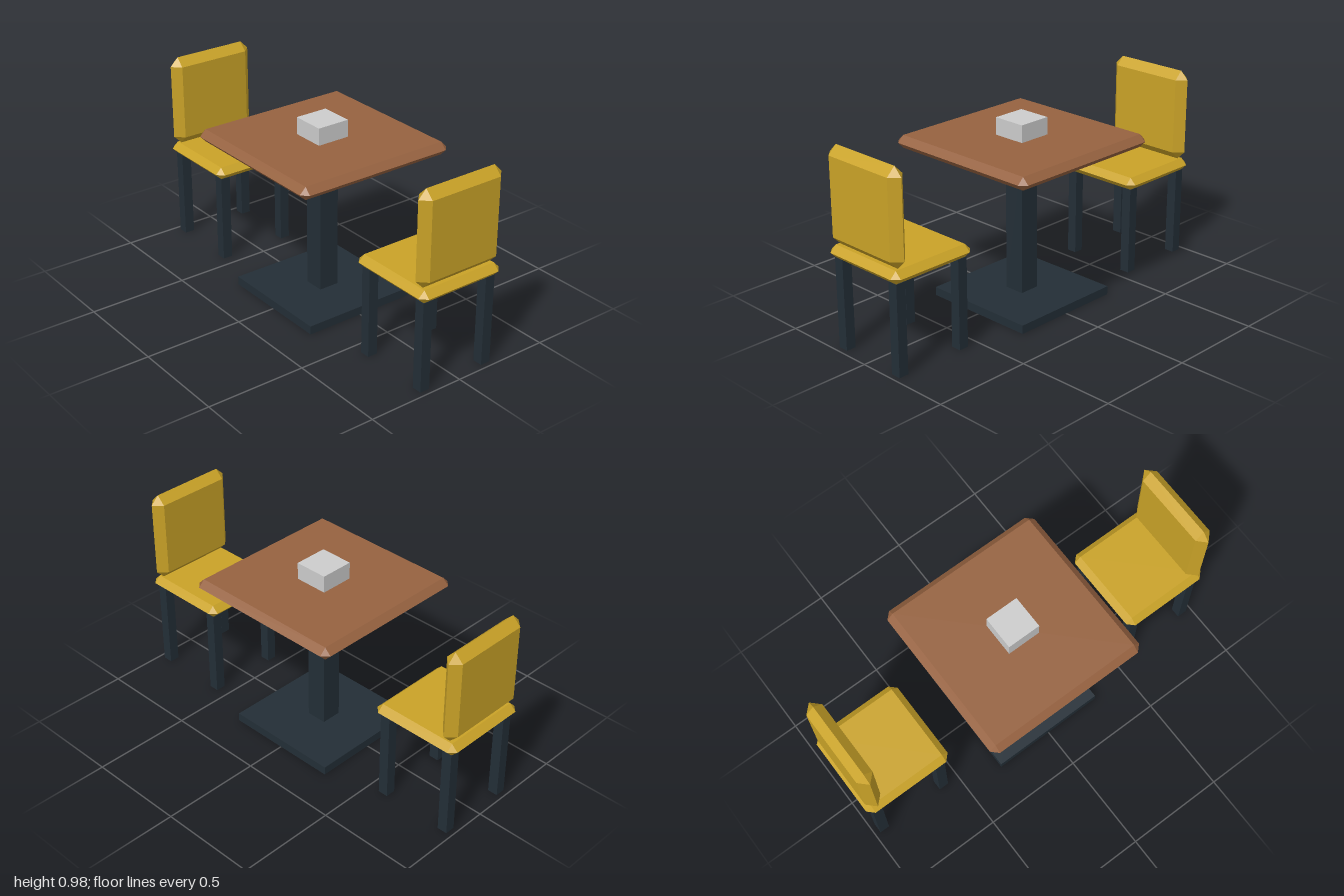
import * as THREE from 'three';
import { ConvexGeometry } from 'three/addons/geometries/ConvexGeometry.js';

const mat = (name, color) => {
  const m = new THREE.MeshStandardMaterial({ color });
  m.name = name;
  return m;
};

// Box with 45 degree chamfers on every edge: each face is inset by the bevel
function chamferedBox(w, h, d, bevel) {
  const half = [w / 2, h / 2, d / 2];
  const points = new Map();
  for (let axis = 0; axis < 3; axis++)
    for (const sx of [-1, 1]) for (const sy of [-1, 1]) for (const sz of [-1, 1]) {
      const p = [sx, sy, sz].map((s, i) => s * (i === axis ? half[i] : Math.max(half[i] - bevel, 0)) + 0);
      points.set(p.map((v) => (v + 0).toFixed(4)).join(), new THREE.Vector3(...p));
    }
  return new ConvexGeometry([...points.values()]);
}

function add(parent, name, geometry, material, x, y, z) {
  const mesh = new THREE.Mesh(geometry, material);
  mesh.name = name;
  mesh.position.set(x, y, z);
  parent.add(mesh);
  return mesh;
}

export function createModel() {
  const model = new THREE.Group();
  model.name = 'diningSet';
  const wood = mat('wood', 0x966240);
  const mustard = mat('mustard', 0xc9a227);
  const darkMetal = mat('darkMetal', 0x232e36);
  const lightGrey = mat('lightGrey', 0xcccccc);

  // Pedestal table with a small box on top
  const table = new THREE.Group();
  table.name = 'table';
  model.add(table);
  add(table, 'tableBase', new THREE.BoxGeometry(0.595, 0.043, 0.595), darkMetal, 0, 0.0215, 0);
  add(table, 'tablePost', new THREE.BoxGeometry(0.105, 0.727, 0.105), darkMetal, 0, 0.4055, 0);
  add(table, 'tableTop', chamferedBox(0.85, 0.064, 0.85, 0.032), wood, 0, 0.8, 0);
  add(table, 'tableBox', new THREE.BoxGeometry(0.17, 0.086, 0.17), lightGrey, 0, 0.875, 0);

  // Two chairs facing the table from either side
  const legGeometry = new THREE.BoxGeometry(0.051, 0.45, 0.051);
  const seatGeometry = chamferedBox(0.466, 0.064, 0.466, 0.032);
  const backGeometry = chamferedBox(0.085, 0.468, 0.468, 0.0425);
  for (const side of [-1, 1]) {
    const chair = new THREE.Group();
    chair.name = side > 0 ? 'leftChair' : 'rightChair';
    model.add(chair);
    add(chair, 'seat', seatGeometry, mustard, side * 0.767, 0.48, 0);
    add(chair, 'backrest', backGeometry, mustard, side * 0.947, 0.746, 0);
    for (const x of [0.586, 0.947])
      for (const z of [-0.181, 0.181])
        add(chair, 'chairLeg', legGeometry, darkMetal, side * x, 0.225, z);
  }
  return model;
}
